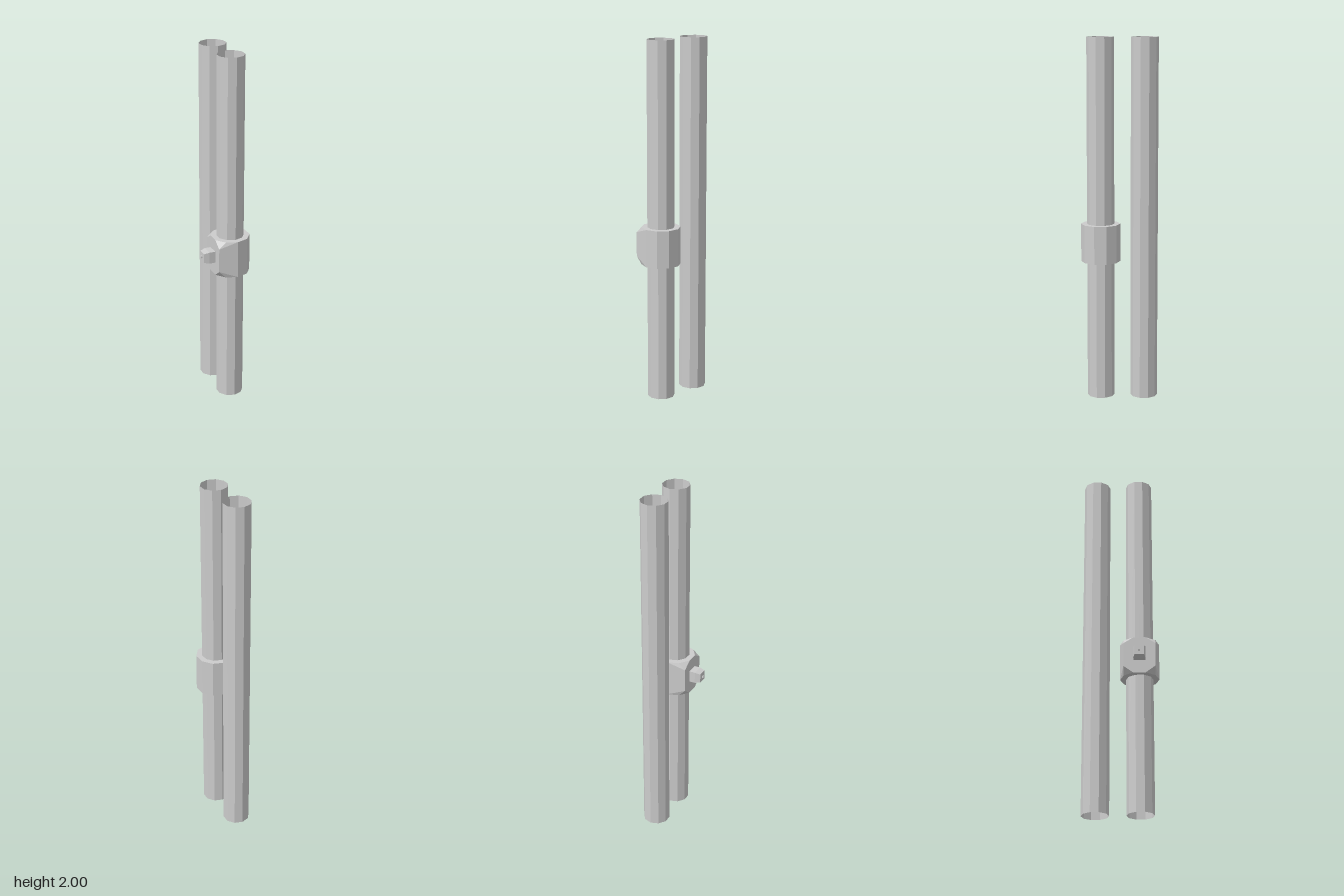
import * as THREE from 'three';

const CX = 0.036, CZ = 0.105, SIDES = 10;
const KNOB_Y = 0.877;

export function createModel() {
  const model = new THREE.Group();
  const metal = new THREE.MeshStandardMaterial({ color: 0xcccccc, flatShading: true, side: THREE.DoubleSide });
  metal.name = 'greyMetal';

  function add(name, geometry, x = 0, y = 0, z = 0) {
    const mesh = new THREE.Mesh(geometry, metal);
    mesh.name = name;
    mesh.position.set(x, y, z);
    model.add(mesh);
    return mesh;
  }

  // Two open ten-sided pipes
  const pipe = new THREE.CylinderGeometry(0.075, 0.075, 2, SIDES, 1, true);
  add('frontPipe', pipe, CX, 1, CZ);
  add('backPipe', pipe, CX, 1, -0.135);

  // Collar around the front pipe, squared off on the knob side
  add('collar', collarGeometry());

  // Square knob with a tapered end and a small tip, pointing to -x
  const block = (name, halfOuter, halfInner, x0, x1) => {
    const g = new THREE.CylinderGeometry(
      halfOuter * Math.SQRT2, halfInner * Math.SQRT2, x0 - x1, 4, 1, false, Math.PI / 4);
    g.rotateZ(Math.PI / 2);
    add(name, g, (x0 + x1) / 2, KNOB_Y, CZ);
  };
  block('knobBase', 0.033, 0.033, -0.066, -0.1);
  block('knobTaper', 0.026, 0.033, -0.1, -0.131);
  block('knobTip', 0.0055, 0.0055, -0.131, -0.14);

  return model;
}

function collarGeometry() {
  const outer = 0.108, inner = 0.075;
  const flatX = CX - outer * Math.cos(Math.PI / SIDES);
  const isCorner = i => i === 3 || i === 6;

  // Ten-sided ring; a squared ring pushes two vertices out to the flat side
  const ring = (r, y, squared = false) => Array.from({ length: SIDES }, (_, i) => {
    const a = (i + 0.5) * 2 * Math.PI / SIDES;
    const x = squared && isCorner(i) ? flatX : CX + r * Math.cos(a);
    return [x, y, CZ + r * Math.sin(a)];
  });

  const rings = [
    ring(inner, 0.98), ring(outer, 0.98), ring(outer, 0.945, true),
    ring(outer, 0.81, true), ring(outer, 0.77), ring(inner, 0.77),
  ];

  // Join the rings, with each diagonal meeting the squared corner
  const points = [];
  for (let k = 0; k < rings.length - 1; k++) {
    const H = rings[k], L = rings[k + 1];
    for (let i = 0; i < SIDES; i++) {
      const j = (i + 1) % SIDES;
      const fromHj = k < 2 ? isCorner(i) : isCorner(j);
      if (fromHj) points.push(H[i], H[j], L[i], H[j], L[j], L[i]);
      else points.push(H[i], H[j], L[j], H[i], L[j], L[i]);
    }
  }
  const g = new THREE.BufferGeometry();
  g.setAttribute('position', new THREE.Float32BufferAttribute(points.flat(), 3));
  g.computeVertexNormals();
  return g;
}
